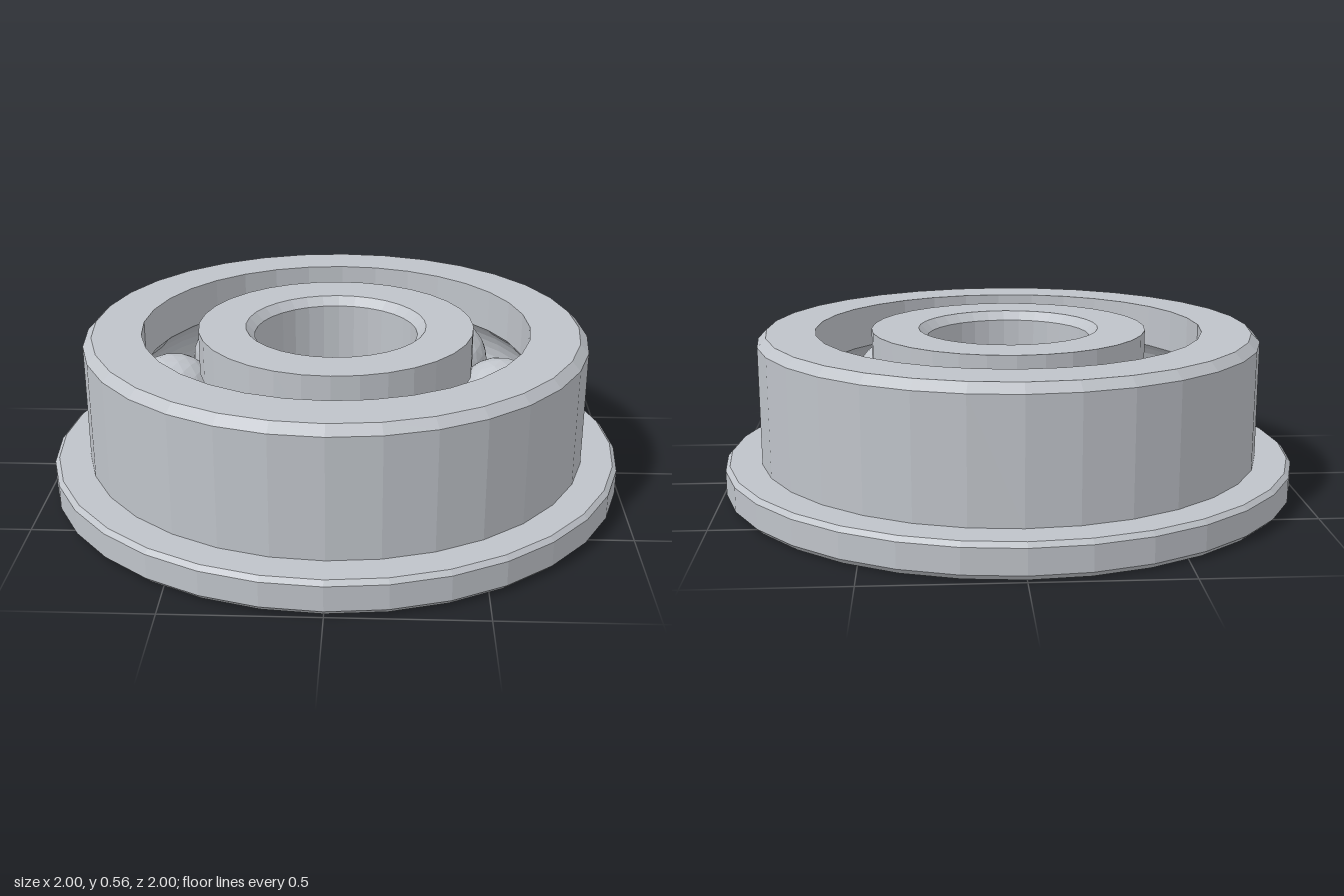
import * as THREE from 'three';

const SIDES = 32;        // facets around each ring
const HEIGHT = 0.56;
const MID = HEIGHT / 2;  // height of the ball centres
const PITCH = 0.58;      // radius of the ball circle
const BALL = 0.155;
const GROOVE = 0.16;
const BALL_COUNT = 8;

// Give every facet its own flat normal
function faceted(geometry) {
  const g = geometry.index ? geometry.toNonIndexed() : geometry;
  g.computeVertexNormals();
  return g;
}

// Arc of the ball raceway, as [radius, height] points
function groove(from, to, steps = 10) {
  return Array.from({ length: steps + 1 }, (_, i) => {
    const a = from + (to - from) * i / steps;
    return [PITCH + GROOVE * Math.cos(a), MID + GROOVE * Math.sin(a)];
  });
}

// Closed ring: the profile runs up the outside and down the inside
function ring(name, profile, material) {
  const points = [...profile, profile[0]].map(([r, y]) => new THREE.Vector2(r, y));
  const mesh = new THREE.Mesh(faceted(new THREE.LatheGeometry(points, SIDES)), material);
  mesh.name = name;
  return mesh;
}

export function createModel() {
  const model = new THREE.Group();
  model.name = 'flangedBallBearing';
  const steel = new THREE.MeshStandardMaterial({ color: 0xbfc3c9 });
  steel.name = 'steel';

  // Outer ring with chamfered flange and raceway
  const outerBore = 0.675;
  const outerArc = Math.acos((outerBore - PITCH) / GROOVE);
  model.add(ring('outerRing', [
    [outerBore, 0], [0.98, 0], [1, 0.02], [1, 0.105], [0.985, 0.12],
    [0.875, 0.12], [0.875, 0.53], [0.845, HEIGHT], [outerBore, HEIGHT],
    ...groove(outerArc, -outerArc),
  ], steel));

  // Inner ring with chamfered bore and raceway
  const innerEdge = 0.48;
  const innerArc = Math.acos((PITCH - innerEdge) / GROOVE);
  model.add(ring('innerRing', [
    [0.315, 0], [innerEdge, 0],
    ...groove(Math.PI + innerArc, Math.PI - innerArc),
    [innerEdge, HEIGHT], [0.315, HEIGHT],
    [0.285, HEIGHT - 0.03], [0.285, 0.03],
  ], steel));

  // Balls spaced evenly between the rings
  const balls = new THREE.Group();
  balls.name = 'balls';
  const ballGeometry = faceted(new THREE.IcosahedronGeometry(BALL, 3));
  for (let i = 0; i < BALL_COUNT; i++) {
    const a = i * Math.PI * 2 / BALL_COUNT;
    const ball = new THREE.Mesh(ballGeometry, steel);
    ball.name = 'ball';
    ball.position.set(PITCH * Math.sin(a), MID, PITCH * Math.cos(a));
    balls.add(ball);
  }
  model.add(balls);

  return model;
}
